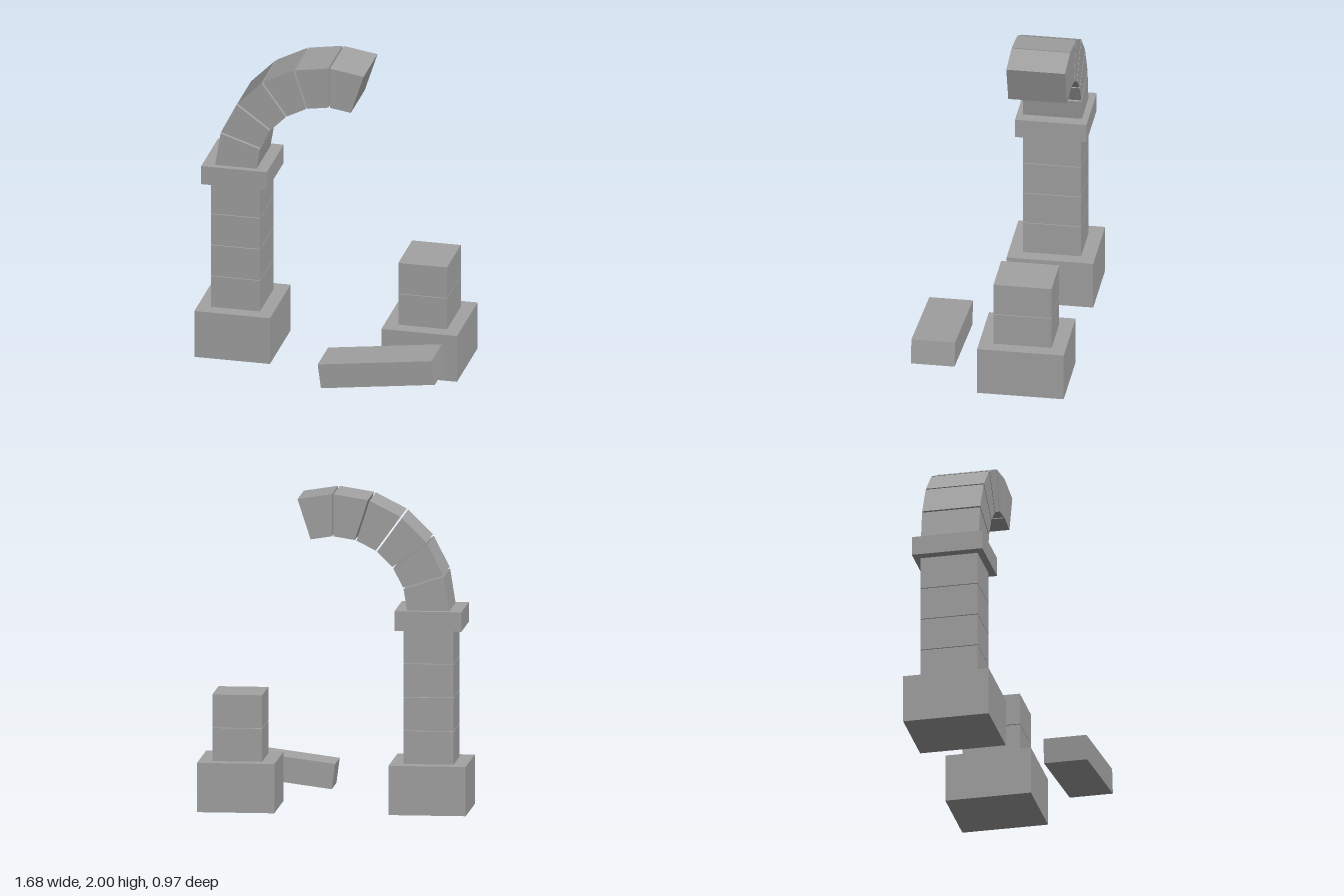
import * as THREE from 'three';

export function createModel() {
  const group = new THREE.Group();
  const stone = new THREE.MeshStandardMaterial({ color: 0xa3a3a3 });
  stone.name = 'grey stone';
  const Z = -0.2125; // centre plane of the arch

  function add(name, geometry, x, y, z) {
    const mesh = new THREE.Mesh(geometry, stone);
    mesh.name = name;
    mesh.position.set(x, y, z);
    group.add(mesh);
    return mesh;
  }
  // Box standing on height y
  const block = (name, x, y, w, h, d) =>
    add(name, new THREE.BoxGeometry(w, h, d), x, y + h / 2, Z);

  // Pedestals with stacked pillar blocks: four on one side, two on the broken side
  for (const [side, x, count] of [['right', -0.6, 4], ['left', 0.598, 2]]) {
    block(side + 'Pedestal', x, 0, 0.484, 0.31, 0.546);
    for (let i = 0; i < count; i++) {
      block(side + 'PillarBlock' + (i + 1), x, 0.31 + i * 0.211, 0.312, 0.207, 0.366);
    }
  }

  // Capital on the intact pillar
  block('capital', -0.6, 1.153, 0.42, 0.122, 0.45);

  // Broken arch: six wedge stones of 18 degrees, each inset for a narrow joint
  const outer = 0.73, inner = 0.465, gap = 0.0055, depth = 0.37;
  const step = Math.PI / 10;
  for (let i = 0; i < 6; i++) {
    const a0 = Math.PI - i * step, a1 = a0 - step;
    const corner = (r, a, s) => new THREE.Vector2(
      r * Math.cos(a) + s * gap * Math.sin(a),
      r * Math.sin(a) - s * gap * Math.cos(a));
    const shape = new THREE.Shape([
      corner(inner, a0, 1), corner(inner, a1, -1),
      corner(outer, a1, -1), corner(outer, a0, 1),
    ]);
    const wedge = new THREE.ExtrudeGeometry(shape, { depth, bevelEnabled: false });
    add('archStone' + (i + 1), wedge, 0, 1.27, Z - depth / 2);
  }

  // Fallen slab, tilted in front of the broken pillar
  const slab = add('fallenSlab', new THREE.BoxGeometry(0.736, 0.16, 0.275), 0.425, 0.183, 0.346);
  slab.rotation.z = THREE.MathUtils.degToRad(7.5);

  return group;
}
